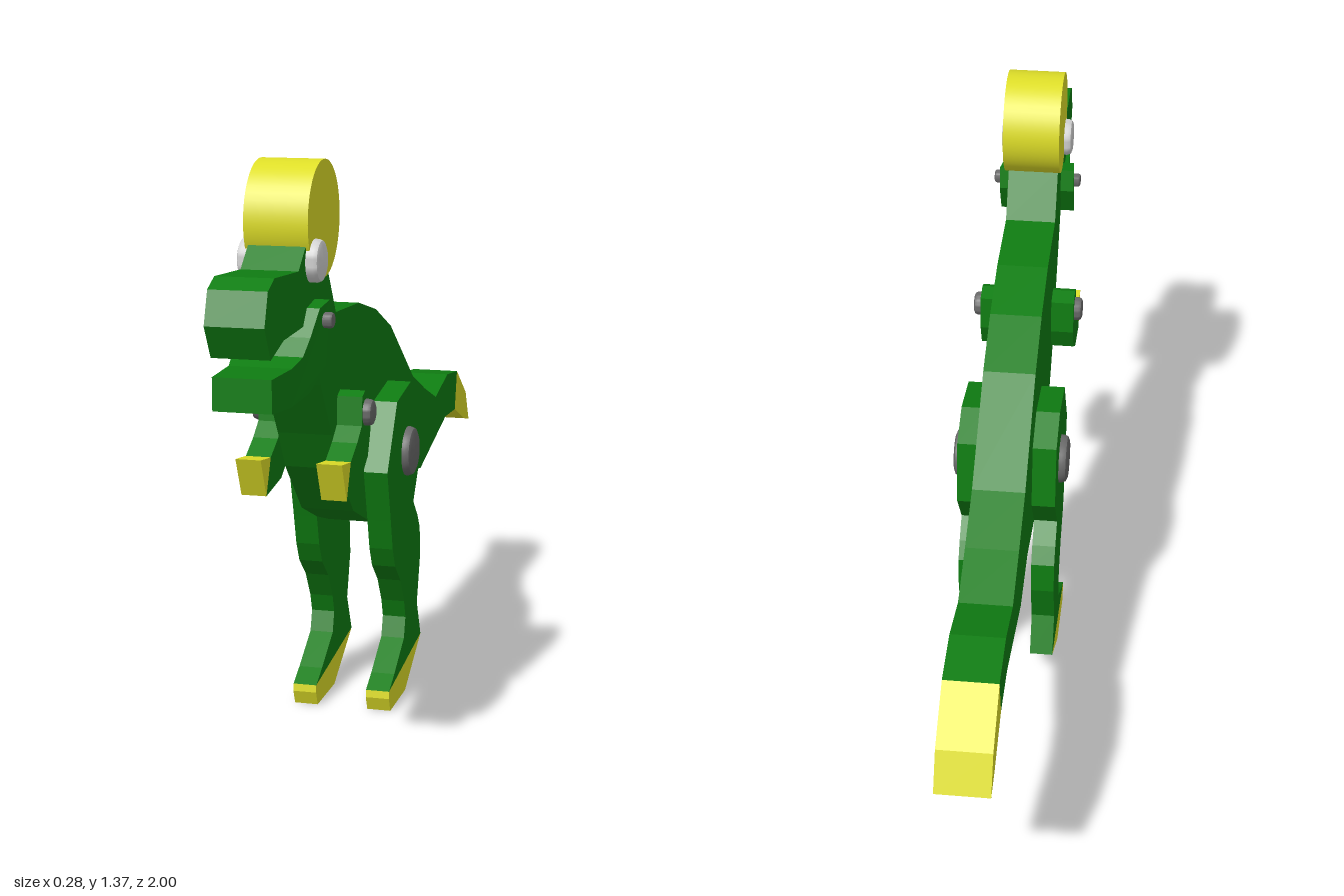
import * as THREE from 'three';
import { toCreasedNormals } from 'three/addons/utils/BufferGeometryUtils.js';

const paint = (name, color) => {
  const m = new THREE.MeshStandardMaterial({ color });
  m.name = name;
  return m;
};

// Side profile given as [z, y] points, extruded across x from x0 to x1
function slab(points, x0, x1) {
  const shape = new THREE.Shape(points.map(([z, y]) => new THREE.Vector2(z, y)));
  const g = new THREE.ExtrudeGeometry(shape, { depth: x1 - x0, bevelEnabled: false });
  g.rotateY(-Math.PI / 2);
  g.translate(x1, 0, 0);
  return g;
}

// Peg through the model along x with rounded ends
function peg(radius, half, round) {
  const pts = [[0, -half], [radius - round, -half], [radius - round * 0.3, -half + round * 0.3],
    [radius, -half + round], [radius, half - round], [radius - round * 0.3, half - round * 0.3],
    [radius - round, half], [0, half]].map(([r, h]) => new THREE.Vector2(r, h));
  return toCreasedNormals(new THREE.LatheGeometry(pts, 32).rotateZ(Math.PI / 2), 0.6);
}

export function createModel() {
  const root = new THREE.Group();
  root.name = 'toyDinosaur';
  const green = paint('green', 0x0f7d12);
  const yellow = paint('yellow', 0xdede28);
  const grey = paint('grey', 0x6a6a6a);
  const white = paint('white', 0xd4d4d4);

  const add = (name, geometry, material, parent = root) => {
    const mesh = new THREE.Mesh(geometry, material);
    mesh.name = name;
    parent.add(mesh);
    return mesh;
  };
  const W = 0.0625; // half thickness of the body board
  const L = 0.12; // outer face of the limbs

  // Body board: head, neck, trunk and tail
  add('body', slab([
    [1, 1.07], [0.975, 1.14], [0.93, 1.16], [0.76, 1.15], [0.7, 1.2], [0.54, 1.13],
    [0.47, 1.02], [0.27, 1.01], [0.11, 0.97], [-0.04, 0.905], [-0.28, 0.735], [-0.42, 0.675],
    [-0.555, 0.625], [-0.7, 0.66], [-0.83, 0.645], [-0.805, 0.54], [-0.68, 0.545],
    [-0.375, 0.47], [-0.215, 0.495], [-0.045, 0.465], [0.08, 0.44], [0.19, 0.475],
    [0.32, 0.53], [0.45, 0.66], [0.505, 0.75], [0.595, 0.88], [0.66, 0.975], [0.72, 1.03],
    [0.87, 1.025], [0.96, 1],
  ], -W, W), green);
  add('tailTip', slab([
    [-0.83, 0.645], [-0.955, 0.56], [-1, 0.472], [-0.93, 0.488], [-0.805, 0.54],
  ], -W, W), yellow);

  // Lower jaw, widening toward the hinge
  const jaw = slab([
    [0.955, 0.96], [0.955, 0.89], [0.835, 0.88], [0.75, 0.895], [0.67, 0.94], [0.63, 1.02],
    [0.64, 1.075], [0.7, 1.065], [0.745, 1.01], [0.78, 0.975], [0.83, 0.96],
  ], -1, 1);
  const p = jaw.attributes.position;
  for (let i = 0; i < p.count; i++) {
    const t = THREE.MathUtils.clamp((0.86 - p.getZ(i)) / 0.19, 0, 1);
    p.setX(i, p.getX(i) * THREE.MathUtils.lerp(W, 0.096, t));
  }
  jaw.computeVertexNormals();
  add('jaw', jaw, green);

  // Crest drum, eyes and joint pegs
  const place = (mesh, z, y) => mesh.position.set(0, y, z);
  place(add('crestDrum', new THREE.CylinderGeometry(0.126, 0.126, 0.14, 48).rotateZ(Math.PI / 2), yellow), 0.59, 1.24);
  place(add('eyes', peg(0.046, 0.09, 0.012), white), 0.665, 1.16);
  place(add('jawPeg', peg(0.017, 0.112, 0.006), grey), 0.665, 1.035);
  place(add('shoulderPeg', peg(0.03, 0.14, 0.01), grey), 0.43, 0.79);
  place(add('hipPeg', peg(0.06, 0.141, 0.014), grey), 0.025, 0.61);

  // Limbs on both sides
  for (const [side, x0, x1] of [['left', W, L], ['right', -L, -W]]) {
    const arm = new THREE.Group();
    arm.name = side + 'Arm';
    add('armBoard', slab([
      [0.46, 0.83], [0.435, 0.84], [0.39, 0.83], [0.385, 0.745], [0.41, 0.685], [0.48, 0.64],
      [0.595, 0.625], [0.56, 0.705], [0.505, 0.735], [0.465, 0.765],
    ], x0, x1), green, arm);
    add('claw', slab([[0.56, 0.705], [0.595, 0.625], [0.635, 0.715]], x0, x1), yellow, arm);

    const leg = new THREE.Group();
    leg.name = side + 'Leg';
    add('legBoard', slab([
      [0.13, 0.752], [-0.01, 0.775], [-0.1, 0.73], [-0.12, 0.57], [-0.045, 0.465], [-0.09, 0.42],
      [-0.118, 0.38], [-0.122, 0.3], [-0.09, 0.19], [-0.133, 0.095], [0.203, 0.053],
      [0.15, 0.08], [0.05, 0.14], [0.035, 0.19], [0.05, 0.235], [0.09, 0.3], [0.145, 0.35],
      [0.17, 0.4], [0.19, 0.475], [0.225, 0.6],
    ], x0, x1), green, leg);
    add('footSole', slab([
      [0.203, 0.053], [-0.133, 0.095], [0.035, 0], [0.19, 0], [0.205, 0.035],
    ], x0, x1), yellow, leg);
    root.add(arm, leg);
  }
  return root;
}
